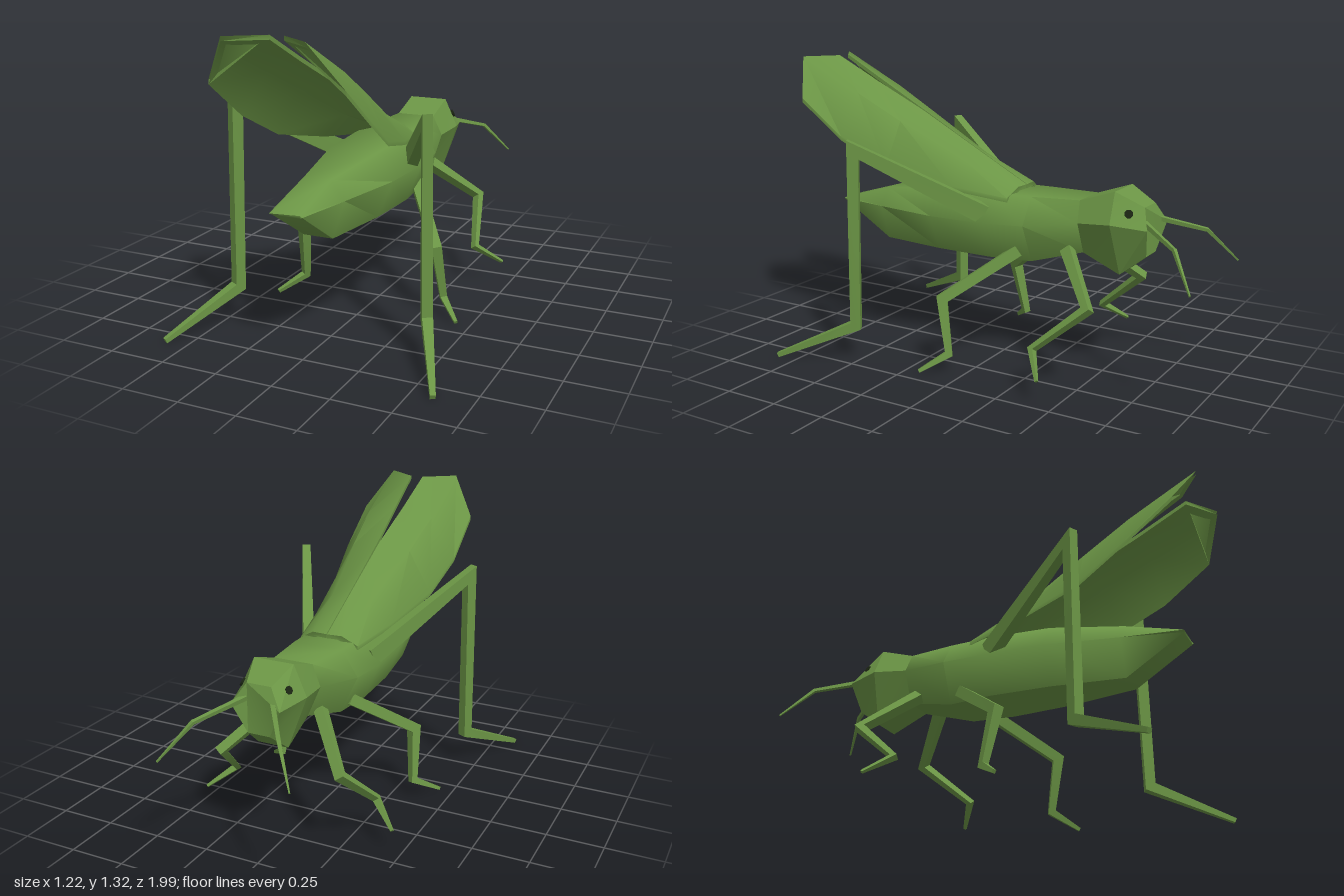
import * as THREE from 'three';
import { toCreasedNormals } from 'three/addons/utils/BufferGeometryUtils.js';

const V = (a) => new THREE.Vector3(...a);

// Closed solid through rings of equal point count; faces always point outward
function loft(rings, crease) {
  const k = rings[0].length, pos = rings.flat(2), idx = [];
  for (let r = 0; r < rings.length - 1; r++)
    for (let i = 0; i < k; i++) {
      const a = r * k + i, b = r * k + (i + 1) % k;
      idx.push(a, b, a + k, b, b + k, a + k);
    }
  const last = (rings.length - 1) * k;
  for (let i = 1; i < k - 1; i++) {
    idx.push(0, i + 1, i);
    idx.push(last, last + i, last + i + 1);
  }
  let volume = 0;
  const at = (i) => new THREE.Vector3().fromArray(pos, i * 3);
  for (let i = 0; i < idx.length; i += 3)
    volume += at(idx[i]).dot(at(idx[i + 1]).cross(at(idx[i + 2])));
  if (volume < 0) idx.reverse();
  const g = new THREE.BufferGeometry();
  g.setAttribute('position', new THREE.Float32BufferAttribute(pos, 3));
  g.setIndex(idx);
  return toCreasedNormals(g, crease);
}

// Hexagonal section: top, middle and bottom corners given as [halfWidth, y, z]
function hexRing([t, m, b]) {
  return [t, m, b].concat([b, m, t].map(([x, y, z]) => [-x, y, z]));
}

// Four-sided jointed limb with mitred corners; sizes are [width, depth] per point
function limbRings(points, sizes) {
  const p = points.map(V);
  const dir = p.slice(1).map((q, i) => q.clone().sub(p[i]).normalize());
  const n = dir[0].clone().cross(dir[1]).normalize();
  return p.map((c, i) => {
    const a = dir[Math.max(i - 1, 0)], b = dir[Math.min(i, dir.length - 1)];
    const t = a.clone().add(b).normalize();
    const mitre = Math.min(1 / Math.max(t.dot(a), 0.1), 2.4);
    const u = t.clone().cross(n).normalize().multiplyScalar(sizes[i][1] * mitre / 2);
    const w = n.clone().multiplyScalar(sizes[i][0] / 2);
    return [[1, 1], [1, -1], [-1, -1], [-1, 1]].map(([s, q]) =>
      c.clone().addScaledVector(u, s).addScaledVector(w, q).toArray());
  });
}

export function createModel() {
  const green = new THREE.MeshStandardMaterial({ color: 0x6b9545 });
  green.name = 'leaf green';
  const dark = new THREE.MeshStandardMaterial({ color: 0x1a2412 });
  dark.name = 'eye dark';
  const model = new THREE.Group();
  model.name = 'grasshopper';

  const add = (name, geometry, material = green) => {
    const mesh = new THREE.Mesh(geometry, material);
    mesh.name = name;
    model.add(mesh);
    return mesh;
  };
  const addPair = (name, rings, crease) => {
    for (const s of [1, -1]) {
      const side = rings.map((r) => r.map(([x, y, z]) => [x * s, y, z]));
      add((s > 0 ? 'left' : 'right') + name, loft(side, crease));
    }
  };

  // Body, from neck to wedge-shaped tail
  const neck = [[0.09, 0.78, -0.42], [0.13, 0.69, -0.43], [0.07, 0.55, -0.43]];
  add('body', loft([
    neck,
    [[0.115, 0.775, -0.2], [0.19, 0.66, -0.2], [0.11, 0.487, -0.2]],
    [[0.12, 0.772, 0], [0.2, 0.65, 0], [0.13, 0.483, 0]],
    [[0.11, 0.76, 0.28], [0.185, 0.645, 0.28], [0.115, 0.48, 0.28]],
    [[0.06, 0.72, 0.6], [0.12, 0.64, 0.6], [0.065, 0.477, 0.6]],
    [[0.06, 0.645, 0.855], [0.072, 0.64, 0.86], [0.06, 0.635, 0.855]],
  ].map(hexRing), 1.02));

  // Faceted head
  add('head', loft([
    neck,
    [[0.09, 0.835, -0.58], [0.15, 0.705, -0.585], [0.07, 0.477, -0.6]],
    [[0.055, 0.775, -0.70], [0.11, 0.69, -0.735], [0.05, 0.565, -0.71]],
  ].map(hexRing), 0.3));

  // Raised wings: each row is inner edge, middle, outer edge
  const wingRows = [
    [[0.002, 0.80, -0.115], [0.07, 0.80, -0.11], [0.14, 0.76, -0.095]],
    [[0.002, 0.935, 0.14], [0.10, 0.90, 0.15], [0.19, 0.795, 0.16]],
    [[0.004, 1.09, 0.43], [0.145, 1.055, 0.46], [0.25, 0.865, 0.47]],
    [[0.02, 1.215, 0.68], [0.165, 1.17, 0.68], [0.285, 0.985, 0.69]],
    [[0.03, 1.324, 0.89], [0.17, 1.324, 0.995], [0.285, 1.145, 0.91]],
  ];
  addPair('Wing', wingRows.map((r) =>
    r.concat([...r].reverse().map(([x, y, z]) => [x, y - 0.018, z]))), 0.7);

  // Legs: hip, knee, ankle, toe
  addPair('HindLeg', limbRings(
    [[0.155, 0.68, 0.01], [0.428, 0.965, 0.51], [0.44, 0.165, 0.515], [0.598, 0.012, 0.845]],
    [[0.05, 0.085], [0.04, 0.05], [0.045, 0.045], [0.022, 0.02]]), 0.5);
  addPair('MiddleLeg', limbRings(
    [[0.12, 0.53, -0.14], [0.325, 0.322, 0.125], [0.345, 0.082, 0.08], [0.44, 0.015, 0.175]],
    [[0.05, 0.05], [0.045, 0.045], [0.03, 0.03], [0.015, 0.015]]), 0.5);
  addPair('FrontLeg', limbRings(
    [[0.1, 0.56, -0.37], [0.28, 0.375, -0.555], [0.345, 0.185, -0.335], [0.455, 0.098, -0.418]],
    [[0.045, 0.05], [0.04, 0.032], [0.03, 0.022], [0.012, 0.012]]), 0.5);

  // Bent antennae
  addPair('Antenna', limbRings(
    [[0.06, 0.712, -0.70], [0.19, 0.652, -0.885], [0.292, 0.508, -0.993]],
    [[0.02, 0.02], [0.016, 0.014], [0.006, 0.006]]), 0.5);

  // Eyes: small discs lying on the upper cheeks
  for (const s of [1, -1]) {
    const eye = add((s > 0 ? 'left' : 'right') + 'Eye',
      new THREE.CylinderGeometry(0.018, 0.018, 0.009, 8), dark);
    const normal = V([s * 0.84, 0.46, -0.29]).normalize();
    eye.quaternion.setFromUnitVectors(V([0, 1, 0]), normal);
    eye.position.set(s * 0.104, 0.752, -0.65);
  }
  return model;
}
